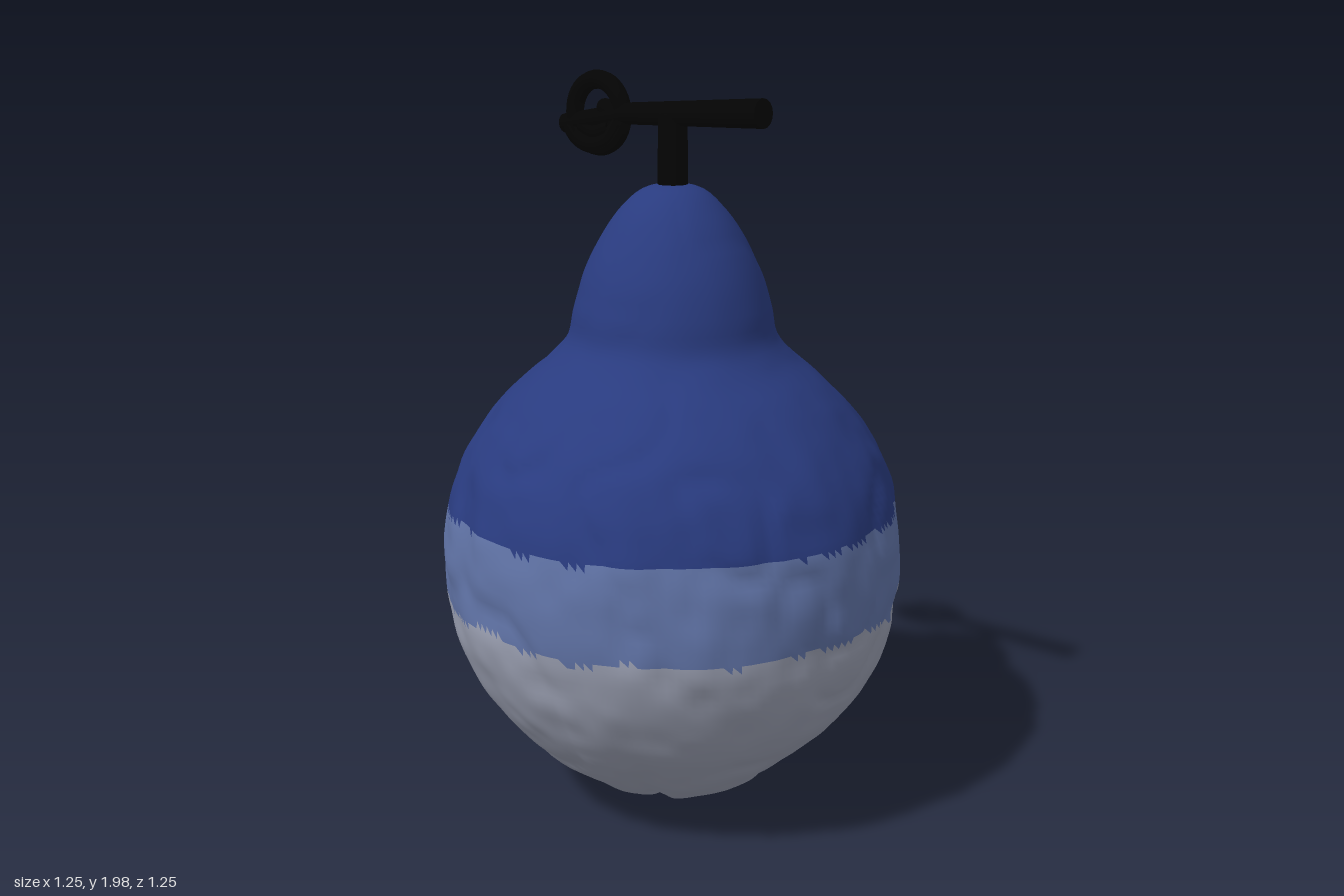
import * as THREE from 'three';
import { mergeVertices } from 'three/addons/utils/BufferGeometryUtils.js';

const flat = (name, color) => {
  const m = new THREE.MeshStandardMaterial({ color });
  m.name = name;
  return m;
};

// Seeded value noise in the range -1 to 1
function hash(i, j, k) {
  const s = Math.sin(i * 127.1 + j * 311.7 + k * 74.7 + 3.1) * 43758.5453;
  return (s - Math.floor(s)) * 2 - 1;
}
function noise(x, y, z) {
  const i = Math.floor(x), j = Math.floor(y), k = Math.floor(z);
  const [u, v, w] = [x - i, y - j, z - k].map((t) => t * t * (3 - 2 * t));
  const mix = THREE.MathUtils.lerp;
  const row = (b, c) => mix(hash(i, j + b, k + c), hash(i + 1, j + b, k + c), u);
  return mix(mix(row(0, 0), row(1, 0), v), mix(row(0, 1), row(1, 1), v), w);
}

// Rounded lumps separated by thin wrinkles
function lumps(x, y, z) {
  const warp = 0.7 * noise(x * 4, y * 4, z * 4);
  const wrinkle = Math.abs(noise(x * 6 + warp, y * 5 - warp, z * 6 + 9));
  return Math.min(wrinkle * 3, 1) - 0.65 + 0.5 * noise(x * 15, y * 15, z * 15);
}

// Pear-shaped body, split into three ragged colour bands
function makeBody(materials) {
  const profile = [
    [0, 0.06], [0.04, 0.025], [0.09, 0.016], [0.16, 0.04], [0.27, 0.1], [0.395, 0.2], [0.487, 0.3],
    [0.552, 0.4], [0.594, 0.5], [0.616, 0.6], [0.622, 0.7], [0.616, 0.8], [0.598, 0.9], [0.56, 1.0],
    [0.497, 1.1], [0.403, 1.2], [0.323, 1.27], [0.278, 1.325], [0.262, 1.4], [0.23, 1.5],
    [0.178, 1.6], [0.135, 1.66], [0.085, 1.705], [0.04, 1.72], [0, 1.722],
  ].map(([r, y]) => new THREE.Vector3(r, y, 0));
  const points = new THREE.CatmullRomCurve3(profile).getSpacedPoints(110)
    .map((p) => new THREE.Vector2(Math.max(p.x, 0), p.y));
  let geo = new THREE.LatheGeometry(points, 170);
  geo.deleteAttribute('uv');
  geo.deleteAttribute('normal');
  geo = mergeVertices(geo, 1e-4);

  const pos = geo.attributes.position;
  const { smoothstep } = THREE.MathUtils;
  for (let i = 0; i < pos.count; i++) {
    const x = pos.getX(i), y = pos.getY(i), z = pos.getZ(i);
    const r = Math.hypot(x, z), a = Math.atan2(z, x);
    // the neck is smooth, the belly lumpy, the underside creased
    const amp = 0.01 * (1 - 0.8 * smoothstep(y, 1.0, 1.35));
    const low = 1 - smoothstep(y, 0.05, 0.4);
    const crease = Math.pow(Math.abs(Math.cos(a * 2.5 + 0.5)), 16) * low * 0.02;
    const k = 1 + (amp * lumps(x, y, z) - crease) / Math.max(r, 0.12);
    pos.setXYZ(i, x * k, Math.max(0.005, y + crease * 0.5), z * k);
  }
  geo.computeVertexNormals();

  // sort faces into bands by their height
  const idx = geo.index.array, bands = [[], [], []];
  for (let i = 0; i < idx.length; i += 3) {
    const f = [idx[i], idx[i + 1], idx[i + 2]];
    if (new Set(f).size < 3) continue;
    const [x, y, z] = ['getX', 'getY', 'getZ'].map((g) => f.reduce((s, v) => s + pos[g](v), 0) / 3);
    const ragged = noise(x * 9, 0.4, z * 9) + 0.5 * noise(x * 22, 0.7, z * 22);
    bands[y > 0.873 + 0.008 * ragged ? 2 : y > 0.625 + 0.03 * ragged ? 1 : 0].push(...f);
  }
  geo.setIndex(bands.flat());
  let start = 0;
  bands.forEach((b, i) => {
    geo.addGroup(start, b.length, i);
    start += b.length;
  });
  const body = new THREE.Mesh(geo, materials);
  body.name = 'body';
  return body;
}

// Short upright stem, sloping crossbar and curled tip
function makeStem(black) {
  const stem = new THREE.Group();
  stem.name = 'stem';
  const add = (name, geo, x = 0, y = 0) => {
    const m = new THREE.Mesh(geo, black);
    m.name = name;
    m.position.set(x, y, 0);
    stem.add(m);
    return m;
  };
  const bar = (name, x0, y0, r0, x1, y1, r1) => {
    const dx = x1 - x0, dy = y1 - y0;
    const m = add(name, new THREE.CylinderGeometry(r1, r0, Math.hypot(dx, dy), 16),
      (x0 + x1) / 2, (y0 + y1) / 2);
    m.rotation.z = Math.atan2(dy, dx) - Math.PI / 2;
  };
  const tube = (name, points, r) => {
    const curve = new THREE.CatmullRomCurve3(points.map(([x, y]) => new THREE.Vector3(x, y, 0)));
    add(name, new THREE.TubeGeometry(curve, 30, r, 12));
  };
  bar('uprightStem', 0, 1.68, 0.04, 0, 1.9, 0.038);
  bar('crossbar', -0.18, 1.89, 0.028, 0.297, 1.915, 0.037);
  bar('crossbarTip', -0.39, 1.853, 0.026, -0.17, 1.889, 0.028);
  add('curlRing', new THREE.TorusGeometry(0.088, 0.025, 12, 40), -0.265, 1.887);
  // lower lobe of the curl, between the tip and the ring
  tube('curlLobe', [[-0.365, 1.85], [-0.335, 1.82], [-0.28, 1.805], [-0.22, 1.822], [-0.18, 1.87]], 0.028);
  tube('curlInner', [[-0.32, 1.855], [-0.27, 1.84], [-0.215, 1.855]], 0.026);
  // inward end of the curl
  tube('curlEnd', [[-0.2, 1.86], [-0.215, 1.89], [-0.24, 1.903]], 0.024);
  add('curlEndCap', new THREE.SphereGeometry(0.024, 12, 8), -0.24, 1.903);
  return stem;
}

export function createModel() {
  const group = new THREE.Group();
  group.name = 'pear';
  group.add(makeBody([
    flat('paleGrey', 0x9a9fb1),
    flat('dustyBlue', 0x6073a6),
    flat('deepBlue', 0x293b7f),
  ]));
  group.add(makeStem(flat('black', 0x040404)));
  return group;
}
